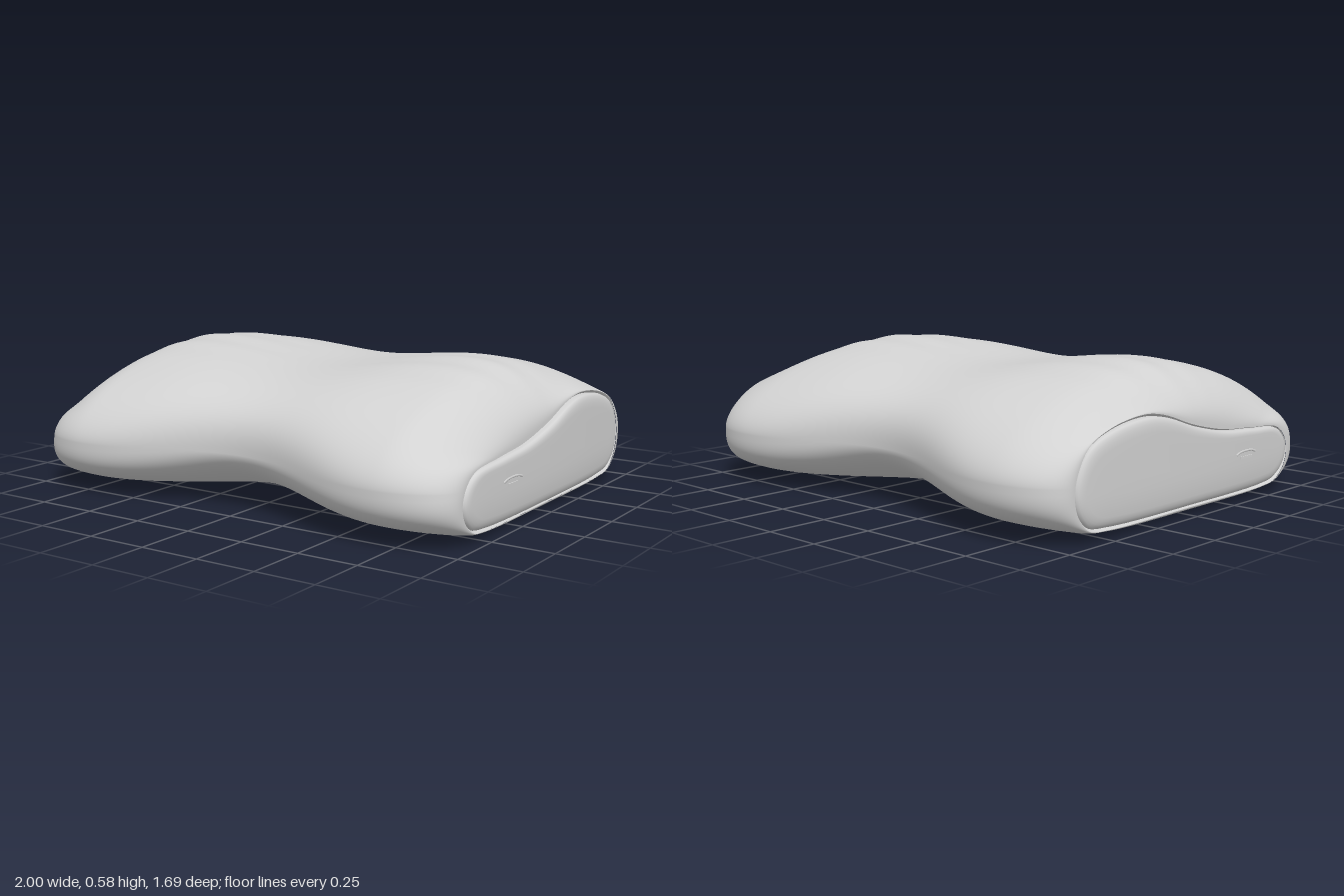
import * as THREE from 'three';

const N = 180; // points around each cross-section
const CY = 0.2; // centre height of the side profile

// Side panel profile as (z, y), counter-clockwise from the front end
const profile = new THREE.CatmullRomCurve3(
  [[0.67, 0.16], [0.65, 0.22], [0.59, 0.268], [0.4, 0.29], [0.2, 0.308], [0, 0.352], [-0.18, 0.41], [-0.3, 0.427],
    [-0.5, 0.4], [-0.62, 0.345], [-0.68, 0.25], [-0.69, 0.17], [-0.665, 0.1], [-0.61, 0.05], [-0.5, 0.036],
    [0, 0.034], [0.5, 0.036], [0.59, 0.05], [0.65, 0.1]].map(([z, y]) => new THREE.Vector3(z, y, 0)), true
).getPoints(600).map((p) => ({ a: Math.atan2(p.y - CY, p.x), r: Math.hypot(p.x, p.y - CY) })).sort((p, q) => p.a - q.a);

// Point of the profile in direction a, pulled inwards by d
function profilePoint(a, d = 0) {
  let i = profile.findIndex((p) => p.a > a);
  if (i < 1) i = profile.length - 1;
  const p = profile[i - 1], q = profile[i];
  const k = THREE.MathUtils.clamp((a - p.a) / (q.a - p.a || 1), 0, 1);
  const r = p.r + (q.r - p.r) * k;
  // scale both directions separately for an even border
  return [r * Math.cos(a) * (1 - d / 0.68), r * Math.sin(a) * (1 - d / 0.17) + CY];
}

// Skin over closed rings ordered by rising x
function loft(rings) {
  const pos = [], idx = [];
  rings.forEach((ring) => ring.forEach((p) => pos.push(...p)));
  for (let i = 0; i < rings.length - 1; i++) {
    for (let j = 0; j < N; j++) {
      const k = (j + 1) % N;
      const a = i * N + j, b = a + N, c = (i + 1) * N + k, d = i * N + k;
      idx.push(a, b, c, a, c, d);
    }
  }
  const g = new THREE.BufferGeometry();
  g.setAttribute('position', new THREE.Float32BufferAttribute(pos, 3));
  g.setIndex(idx);
  g.computeVertexNormals();
  return g;
}

const spow = (v, e) => Math.sign(v) * Math.abs(v) ** e;

// Cushion cross-section at x: rounded oval that blends into the side profile
function bodyRing(x) {
  const u = Math.abs(x);
  const wide = Math.sin(Math.PI * Math.min(u, 0.7) / 1.4) ** 2;
  const depth = 0.7 + 0.145 * wide;
  const top = u < 0.6 ? 0.52 + 0.053 * Math.sin(Math.PI * u / 1.2) ** 2 : 0.573 - 0.1 * ((u - 0.6) / 0.37) ** 2;
  const mid = 0.23 - 0.01 * wide, base = 0.006;
  const s = THREE.MathUtils.clamp((u - 0.7) / 0.272, 0, 1);
  const tz = 1 - Math.sqrt(1 - s * s);
  const ty = 1 - (1 - s ** 2.6) ** (1 / 2.6);
  const ring = [];
  for (let j = 0; j < N; j++) {
    const th = (j / N) * Math.PI * 2;
    const up = Math.sin(th) >= 0;
    // fuller top and softer underside towards the waist
    const n = up ? 2.75 - 0.95 * wide : 1.85 + 1.4 * wide;
    let z = depth * spow(Math.cos(th), 2 / n);
    let y = mid + (up ? top - mid : mid - base) * spow(Math.sin(th), 2 / n);
    // soft wrinkles across the top
    if (up && Math.abs(z) < 0.5) {
      y += 0.004 * Math.cos(z * Math.PI * 10) * Math.cos(z * Math.PI) ** 2 * wide * (1 - s);
    }
    const [pz, py] = profilePoint(Math.atan2(y - CY, z));
    ring.push([x, y + (py - y) * ty, z + (pz - z) * tz]);
  }
  return ring;
}

// Ring parallel to the side profile
function sideRing(x, d, bulge = 0) {
  const ring = [];
  for (let j = 0; j < N; j++) {
    let a = (j / N) * Math.PI * 2;
    if (a > Math.PI) a -= Math.PI * 2;
    // crowd points towards the long ends of the profile
    a = Math.atan2(0.4 * Math.sin(a), Math.cos(a));
    const [z, y] = profilePoint(a, d);
    const low = Math.max(0, (CY - y) / 0.16);
    ring.push([x - bulge * (0.02 * (z / 0.68) ** 2 + 0.014 * low ** 3), y, z]);
  }
  return ring;
}

const mirrorRings = (rings) => rings.map((r) => r.map(([x, y, z]) => [-x, y, z])).reverse();

export function createModel() {
  const model = new THREE.Group();
  const grey = new THREE.MeshStandardMaterial({ color: 0xd2d2d2 });
  grey.name = 'grey';
  const add = (name, geometry, parent = model) => {
    const m = new THREE.Mesh(geometry, grey);
    m.name = name;
    parent.add(m);
    return m;
  };

  // Cushion body, with stations crowded towards the rounded ends
  const rings = [];
  for (let i = 0; i <= 120; i++) rings.push(bodyRing(0.972 * Math.sin((i / 120 - 0.5) * Math.PI)));
  add('cushionBody', loft(rings));

  for (const side of [1, -1]) {
    const group = new THREE.Group();
    group.name = side > 0 ? 'leftSide' : 'rightSide';
    model.add(group);
    const oriented = (list) => loft(side > 0 ? list : mirrorRings(list));

    // Groove wall where the body turns in behind the panel
    add('panelGroove', oriented([sideRing(0.97, -0.001), sideRing(0.964, 0.006), sideRing(0.94, 0.014)]), group);

    // Domed side panel with a rounded rim
    const panel = [[0.94, 0.009], [0.978, 0.007], [0.988, 0.01], [0.994, 0.017], [0.997, 0.026],
      [0.999, 0.036], [1, 0.05], [1, 0.09], [1, 0.13], [1, 0.17]].map(([x, d]) => sideRing(x, d, 1));
    add('sidePanel', oriented(panel), group);

    // Small port with a lip above it
    const port = add('portBar', new THREE.BoxGeometry(0.006, 0.01, 0.08), group);
    port.position.set(side * 0.996, 0.183, 0.33);
    const lip = new THREE.CatmullRomCurve3([[0.26, 0.197], [0.29, 0.206], [0.37, 0.206], [0.4, 0.197]]
      .map(([z, y]) => new THREE.Vector3(side * (0.9985 - 0.02 * (z / 0.68) ** 2), y, z)));
    add('portLip', new THREE.TubeGeometry(lip, 12, 0.005, 6), group);
  }

  // Plain raised frames and plates under the base
  const baseLabel = (name, x, z, w, d) => {
    const group = new THREE.Group();
    group.name = name;
    group.position.set(x, 0.005, z);
    model.add(group);
    for (const s of [-1, 1]) {
      add('frameLong', new THREE.BoxGeometry(w, 0.01, 0.008), group).position.z = s * d / 2;
      add('frameShort', new THREE.BoxGeometry(0.008, 0.01, d), group).position.x = s * w / 2;
    }
    add('framePlate', new THREE.BoxGeometry(w * 0.5, 0.009, d * 0.4), group);
  };
  baseLabel('baseLabel', 0.43, 0.05, 0.2, 0.12);
  baseLabel('baseSwitch', -0.1, -0.01, 0.12, 0.09);

  return model;
}
